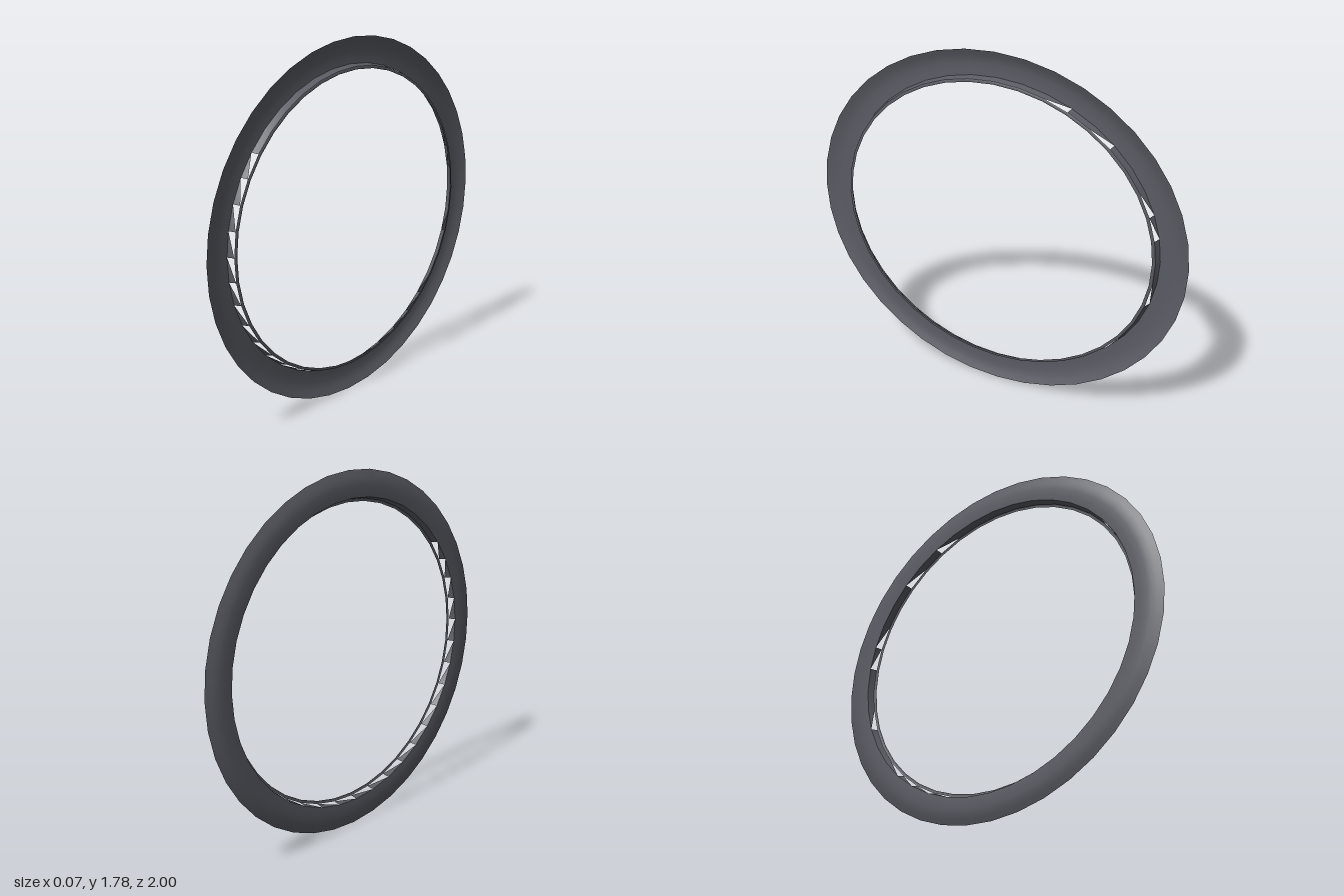
import * as THREE from 'three';

const SEGMENTS = 40;
const HALF_HEIGHT = 0.89;
const TILT = 0.015;
const START = THREE.MathUtils.degToRad(36);

// Point on the tilted oval: r is the fraction of the outer oval, d the depth along x
function ovalPoint(step, r, d) {
  const a = START - (step / SEGMENTS) * Math.PI * 2;
  const s = Math.sin(a) * r;
  return [d + TILT * s, HALF_HEIGHT * (1 + s), Math.cos(a) * r];
}

// Sweep an open [r, d] profile round the oval
function sweep(profile) {
  const positions = [], index = [], n = profile.length;
  for (let i = 0; i < SEGMENTS; i++) {
    for (const [r, d] of profile) positions.push(...ovalPoint(i, r, d));
    const next = (i + 1) % SEGMENTS;
    for (let j = 0; j < n - 1; j++) {
      const a = i * n + j, b = next * n + j;
      index.push(a, b, a + 1, b, b + 1, a + 1);
    }
  }
  return finish(positions, index);
}

function finish(positions, index) {
  const g = new THREE.BufferGeometry();
  g.setAttribute('position', new THREE.Float32BufferAttribute(positions, 3));
  g.setIndex(index);
  g.computeVertexNormals();
  return g;
}

// Wall joining the dished rim to the lip, with one triangle left out at each notch
function notchedWall(rim, lip, isNotched) {
  const positions = [], index = [];
  for (let i = 0; i < SEGMENTS; i++) {
    positions.push(...ovalPoint(i, ...rim), ...ovalPoint(i, ...lip));
    const a = i * 2, b = ((i + 1) % SEGMENTS) * 2;
    index.push(a, b, b + 1);
    if (!isNotched(i)) index.push(a, b + 1, a + 1);
  }
  return finish(positions, index);
}

export function createModel() {
  const group = new THREE.Group();
  group.name = 'ovalBezel';
  const material = new THREE.MeshStandardMaterial({ color: 0x5a5c64, side: THREE.DoubleSide });
  const add = (name, geometry) => {
    const mesh = new THREE.Mesh(geometry, material);
    mesh.name = name;
    group.add(mesh);
  };

  // Broad, shallow dished rim
  const rim = [[1, 0], [0.97, -0.011], [0.945, -0.018], [0.92, -0.021], [0.885, -0.022], [0.852, -0.02]];
  add('dishedRim', sweep(rim));

  // Narrow inner lip
  const lip = [[0.842, 0.014], [0.836, 0.018], [0.826, 0.017]];
  add('innerLip', sweep(lip));

  // Sawtooth wall: a continuous run of notches and a few single ones
  const single = [22, 25, 26, 29, 31];
  add('notchedWall', notchedWall(rim[rim.length - 1], lip[0], i => i < 20 || single.includes(i)));

  return group;
}
